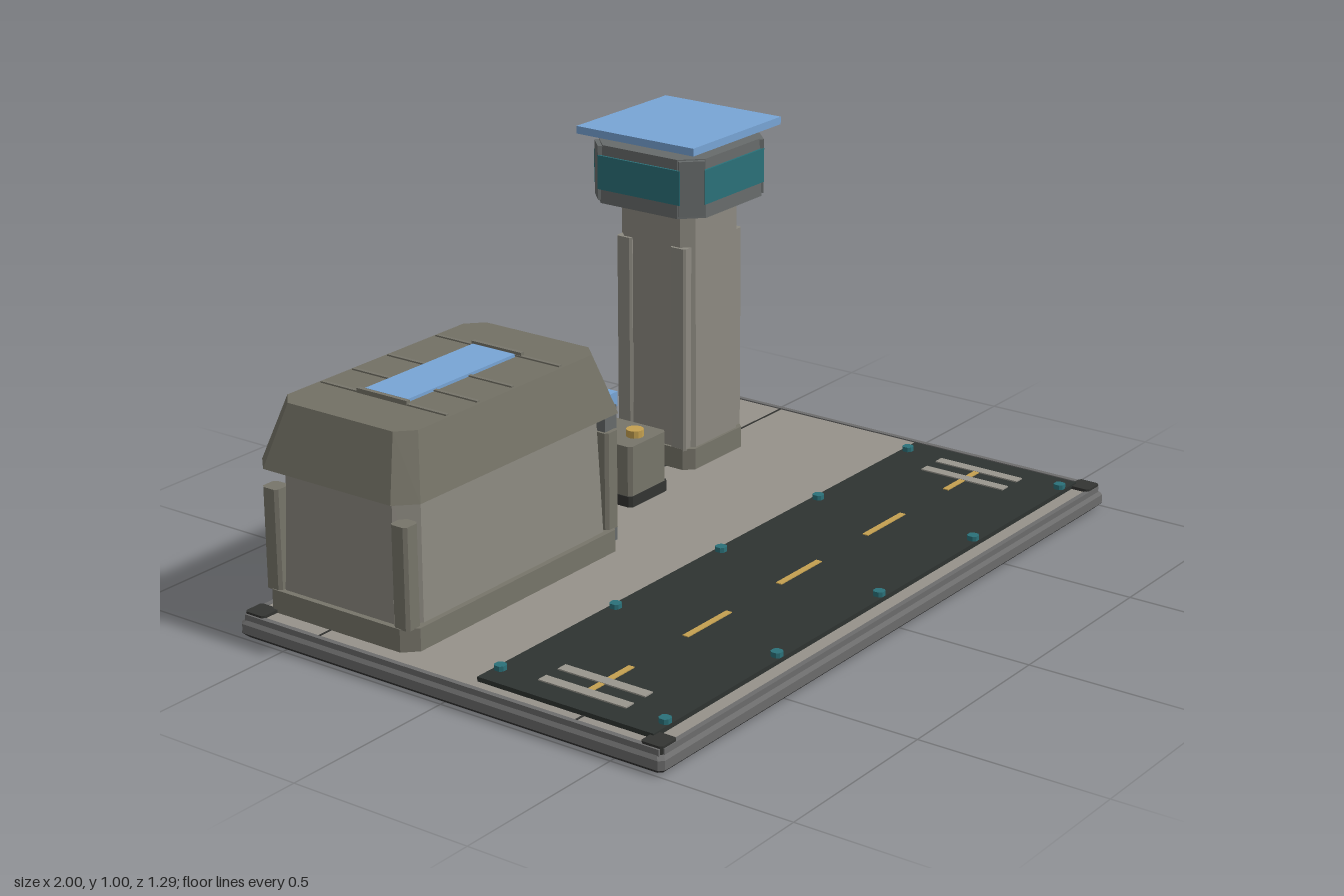
import * as THREE from 'three';

const COLORS = {
  rim: 0x6c6c6c, under: 0x363636, deck: 0x96928a, asphalt: 0x2e3331, dark: 0x333432,
  wall: 0x8d8a81, trim: 0x77756a, roof: 0x737165, steel: 0x676b6b,
  blue: 0x78a5d6, teal: 0x2b7179, gold: 0xc4a050, paint: 0x99968e,
};
const mats = {};
const mat = (c) => (mats[c] ??= new THREE.MeshStandardMaterial({ color: COLORS[c], flatShading: true }));

function add(parent, name, geometry, color, x = 0, y = 0, z = 0) {
  const mesh = new THREE.Mesh(geometry, mat(color));
  mesh.name = name;
  mesh.position.set(x, y, z);
  parent.add(mesh);
  return mesh;
}

// Box given by its limits on each axis
function block(parent, name, color, [x0, x1], [y0, y1], [z0, z1]) {
  return add(parent, name, new THREE.BoxGeometry(x1 - x0, y1 - y0, z1 - z0), color,
    (x0 + x1) / 2, (y0 + y1) / 2, (z0 + z1) / 2);
}

// Upright prism with cut corners, standing on y = 0 and tapering to topW x topD
function cutPrism(w, d, h, cut, topW = w, topD = d) {
  const a = w / 2, b = d / 2;
  const shape = new THREE.Shape([
    [a - cut, -b], [a, -b + cut], [a, b - cut], [a - cut, b],
    [-a + cut, b], [-a, b - cut], [-a, -b + cut], [-a + cut, -b],
  ].map(([x, y]) => new THREE.Vector2(x, y)));
  const g = new THREE.ExtrudeGeometry(shape, { depth: h, bevelEnabled: false });
  g.rotateX(-Math.PI / 2);
  const p = g.attributes.position;
  for (let i = 0; i < p.count; i++) {
    if (p.getY(i) > h / 2) p.setXYZ(i, p.getX(i) * topW / w, p.getY(i), p.getZ(i) * topD / d);
  }
  g.computeVertexNormals();
  return g;
}

function makeBase() {
  const g = new THREE.Group();
  g.name = 'base';
  add(g, 'underside', cutPrism(1.97, 1.26, 0.014, 0.01, 2, 1.29), 'under');
  add(g, 'rim', cutPrism(2, 1.29, 0.024, 0.012), 'rim', 0, 0.014);
  add(g, 'rimBevel', cutPrism(2, 1.29, 0.014, 0.012, 1.975, 1.265), 'rim', 0, 0.038);
  block(g, 'deck', 'deck', [-0.975, 0.975], [0.05, 0.06], [-0.63, 0.63]);
  for (const z of [-0.4, 0.385]) block(g, 'deckSeam', 'dark', [-0.975, 0.975], [0.055, 0.0612], [z - 0.003, z + 0.003]);
  for (const s of [-1, 1]) {
    block(g, 'sideEdge', 'rim', [s * 0.985 - 0.007, s * 0.985 + 0.007], [0.045, 0.062], [-0.63, 0.63]);
    block(g, 'longEdge', 'rim', [-0.98, 0.98], [0.045, 0.062], [s * 0.63 - 0.007, s * 0.63 + 0.007]);
    for (const t of [-1, 1]) add(g, 'cornerPlate', cutPrism(0.06, 0.06, 0.022, 0.006), 'dark', s * 0.957, 0.046, t * 0.605);
  }
  return g;
}

function makeRunway() {
  const g = new THREE.Group();
  g.name = 'runway';
  block(g, 'asphalt', 'asphalt', [-0.95, 0.95], [0.058, 0.072], [0.072, 0.585]);
  for (let i = -2; i <= 2; i++) {
    const x = i * 0.3925;
    block(g, 'centreDash', 'gold', [x - 0.09, x + 0.09], [0.07, 0.0745], [0.322, 0.339]);
    for (const z of [0.09, 0.57]) {
      add(g, 'edgeLight', cutPrism(0.028, 0.028, 0.014, 0.007), 'teal', i * 0.443, 0.071, z);
    }
  }
  for (const s of [-1, 1]) for (const x of [0.795, 0.868]) {
    block(g, 'thresholdBar', 'paint', [s * x - 0.015, s * x + 0.015], [0.07, 0.0755], [0.2, 0.456]);
  }
  return g;
}

function makeHangar() {
  const g = new THREE.Group();
  g.name = 'hangar';
  g.position.set(-0.52, 0, -0.383);
  add(g, 'footing', cutPrism(0.83, 0.48, 0.06, 0.035), 'trim', 0, 0.06);
  add(g, 'walls', cutPrism(0.8, 0.45, 0.33, 0.05, 0.77, 0.43), 'wall', 0, 0.118);
  // Corner buttresses
  for (const s of [-1, 1]) for (const t of [-1, 1]) {
    add(g, 'buttress', cutPrism(0.05, 0.05, 0.265, 0.008), 'trim', s * 0.387, 0.118, t * 0.205);
  }
  add(g, 'roof', cutPrism(0.86, 0.505, 0.16, 0.05, 0.745, 0.415), 'roof', 0, 0.44);
  for (const x of [-0.215, -0.1, 0.03, 0.215]) {
    block(g, 'roofRib', 'trim', [x - 0.005, x + 0.005], [0.595, 0.604], [-0.2, 0.2]);
  }
  block(g, 'skylight', 'blue', [-0.2, 0.205], [0.598, 0.608], [-0.072, 0.064]);
  for (const x of [-0.215, 0.218]) block(g, 'skylightEnd', 'trim', [x - 0.006, x + 0.006], [0.598, 0.612], [-0.082, 0.078]);

  // Shutter door on the +x end
  block(g, 'doorFrame', 'steel', [0.37, 0.418], [0.075, 0.445], [-0.218, 0.218]);
  block(g, 'doorRecess', 'dark', [0.4, 0.424], [0.095, 0.435], [-0.19, 0.19]);
  for (let i = 0; i < 6; i++) {
    const y = 0.112 + i * 0.055;
    block(g, 'doorSlat', 'trim', [0.41, 0.434], [y, y + 0.035], [-0.178, 0.178]);
  }
  block(g, 'doorCanopy', 'blue', [0.405, 0.438], [0.432, 0.472], [-0.207, 0.207]);
  return g;
}

function makeCrate() {
  const g = new THREE.Group();
  g.name = 'generator';
  g.position.set(0.2, 0, -0.41);
  add(g, 'generatorFoot', cutPrism(0.165, 0.245, 0.03, 0.008), 'dark', 0, 0.06);
  add(g, 'generatorBody', cutPrism(0.16, 0.24, 0.15, 0.01), 'trim', 0, 0.08);
  for (const z of [-0.068, 0.074]) {
    add(g, 'generatorCap', new THREE.CylinderGeometry(0.024, 0.024, 0.03, 12), 'gold', 0, 0.235, z);
  }
  return g;
}

function makeTower() {
  const g = new THREE.Group();
  g.name = 'controlTower';
  g.position.set(0.555, 0, -0.45);
  add(g, 'towerFooting', cutPrism(0.265, 0.265, 0.06, 0.025), 'trim', 0, 0.06);
  add(g, 'shaft', cutPrism(0.25, 0.25, 0.69, 0.03, 0.246, 0.246), 'wall', 0, 0.115);
  for (const s of [-1, 1]) for (const t of [-1, 1]) {
    add(g, 'shaftButtress', cutPrism(0.036, 0.05, 0.575, 0.006), 'wall', s * 0.114, 0.115, t * 0.09);
  }
  // Cabin with a window on each side and posts at the corners
  add(g, 'cabin', cutPrism(0.364, 0.364, 0.16, 0.055, 0.354, 0.354), 'steel', 0, 0.79);
  for (let i = 0; i < 4; i++) {
    const side = new THREE.Group();
    side.name = 'cabinSide';
    side.rotation.y = i * Math.PI / 2;
    block(side, 'window', 'teal', [-0.136, 0.136], [0.828, 0.922], [0.16, 0.184]);
    const post = add(side, 'cornerPost', new THREE.BoxGeometry(0.07, 0.15, 0.02), 'steel', 0.152, 0.872, 0.152);
    post.rotation.y = Math.PI / 4;
    g.add(side);
  }
  block(g, 'canopy', 'blue', [-0.2, 0.2], [0.976, 0.997], [-0.193, 0.193]);
  return g;
}

export function createModel() {
  const model = new THREE.Group();
  model.name = 'airfield';
  model.add(makeBase(), makeRunway(), makeHangar(), makeCrate(), makeTower());
  return model;
}
